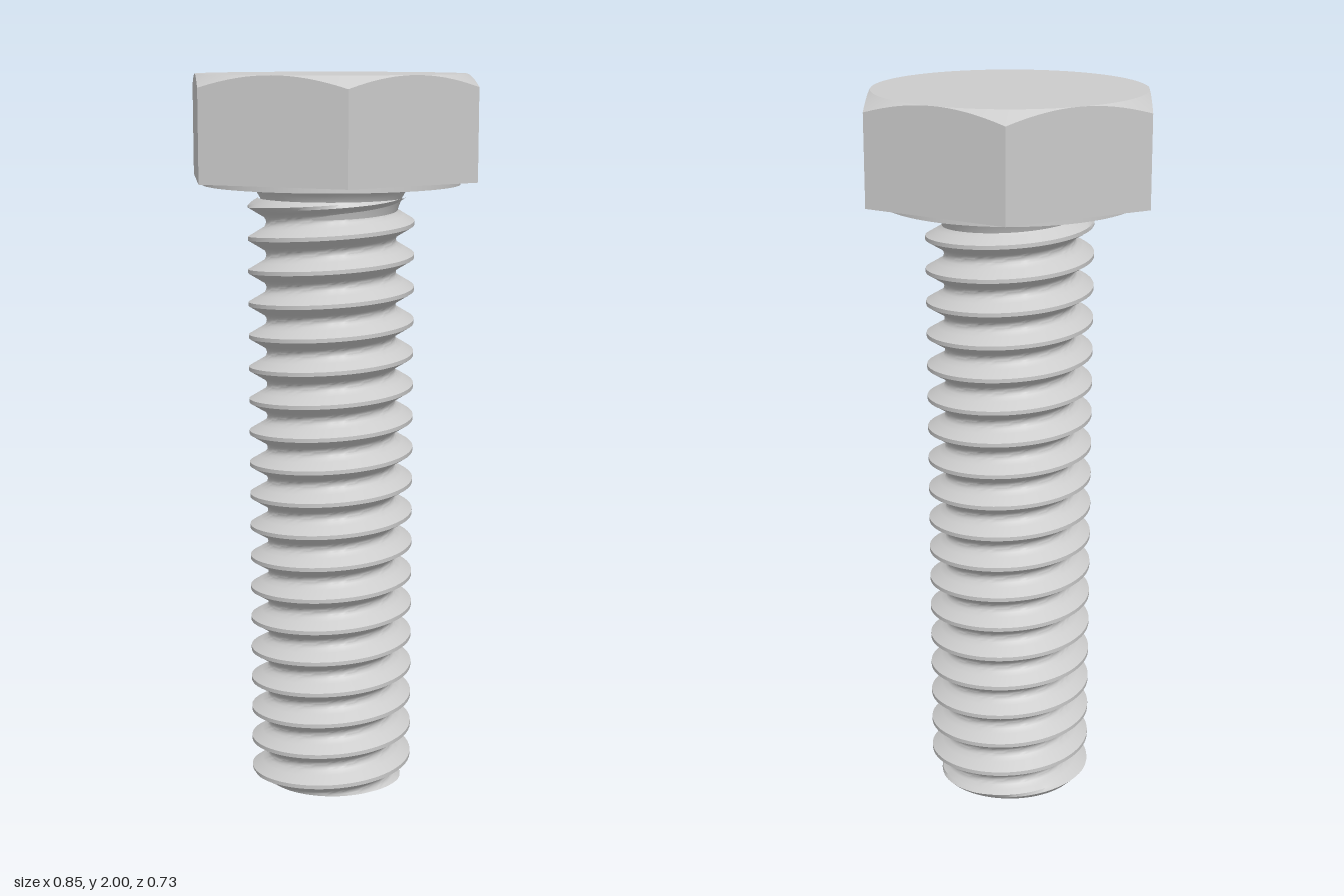
import * as THREE from 'three';
import { toCreasedNormals } from 'three/addons/utils/BufferGeometryUtils.js';

const TAU = Math.PI * 2;
const PITCH = 0.09, CREST = 0.228, ROOT = 0.183;
const THREAD_TOP = 1.67;

// Skin of rings running from bottom to top; each ring maps an angle to [radius, y]
function skin(rings, segments, crease) {
  const points = rings.map((ring) => Array.from({ length: segments + 1 }, (_, i) => {
    const a = (i / segments) * TAU;
    const [r, y] = ring(a);
    return new THREE.Vector3(r * Math.cos(a), y, -r * Math.sin(a));
  }));
  const out = [];
  const tri = (a, b, c) => {
    const area = b.clone().sub(a).cross(c.clone().sub(a)).length();
    if (area > 1e-9) out.push(...a.toArray(), ...b.toArray(), ...c.toArray());
  };
  for (let j = 0; j + 1 < rings.length; j++) {
    for (let i = 0; i < segments; i++) {
      const a = points[j][i], b = points[j][i + 1];
      const c = points[j + 1][i + 1], d = points[j + 1][i];
      tri(a, b, c);
      tri(a, c, d);
    }
  }
  const geometry = new THREE.BufferGeometry();
  geometry.setAttribute('position', new THREE.Float32BufferAttribute(out, 3));
  return toCreasedNormals(geometry, crease);
}

// Thread radius: flat crest, straight flanks, rounded root, chamfered ends
function threadRadius(a, y) {
  let t = (y + 0.01) / PITCH - a / TAU;
  t = Math.abs(t - Math.round(t));
  let r = CREST;
  if (t > 0.36) r = ROOT - 0.005 * Math.sin(((t - 0.36) / 0.14) * Math.PI / 2);
  else if (t > 0.06) r = CREST + (ROOT - CREST) * (t - 0.06) / 0.3;
  return Math.min(r, 0.2 + y, 0.195 + Math.max(0, 1.68 - y));
}

// Right-handed helical thread with a closed lower end
function threadGeometry() {
  const steps = [0, 0.06, 0.16, 0.26, 0.36, 0.43, 0.5, 0.57, 0.64, 0.74, 0.84, 0.94];
  const rings = [() => [0, 0]];
  for (let turn = -2; turn < 20; turn++) {
    for (const s of steps) {
      rings.push((a) => {
        const y = THREE.MathUtils.clamp((turn + s + a / TAU) * PITCH - 0.01, 0, THREAD_TOP);
        return [threadRadius(a, y), y];
      });
    }
  }
  return skin(rings, 72, 0.6);
}

// Hexagonal head whose top corners are cut by a 30 degree cone
function headGeometry() {
  const apothem = 0.367, bottom = 1.72, top = 2;
  const hex = (a) => {
    const local = (a % (TAU / 6)) - TAU / 12;
    return apothem / Math.cos(local);
  };
  return skin([
    () => [0, bottom],
    (a) => [hex(a), bottom],
    (a) => [hex(a), top - (hex(a) - apothem) * Math.tan(Math.PI / 6)],
    () => [apothem, top],
    () => [0, top],
  ], 96, 0.4);
}

export function createModel() {
  const bolt = new THREE.Group();
  bolt.name = 'hexBolt';
  const steel = new THREE.MeshStandardMaterial({ color: 0xcccccc });
  const add = (name, geometry) => {
    const mesh = new THREE.Mesh(geometry, steel);
    mesh.name = name;
    bolt.add(mesh);
    return mesh;
  };

  add('threadedShank', threadGeometry());
  add('head', headGeometry());

  // Round bearing face under the head
  add('washerFace', new THREE.CylinderGeometry(0.352, 0.352, 0.02, 96)).position.y = 1.715;

  // Fillet blending the shank into the bearing face
  const fillet = [[0.178, 1.62], [0.185, 1.645], [0.195, 1.67], [0.205, 1.687], [0.218, 1.699], [0.237, 1.706]];
  add('neckFillet', new THREE.LatheGeometry(fillet.map(([r, y]) => new THREE.Vector2(r, y)), 72));

  return bolt;
}
